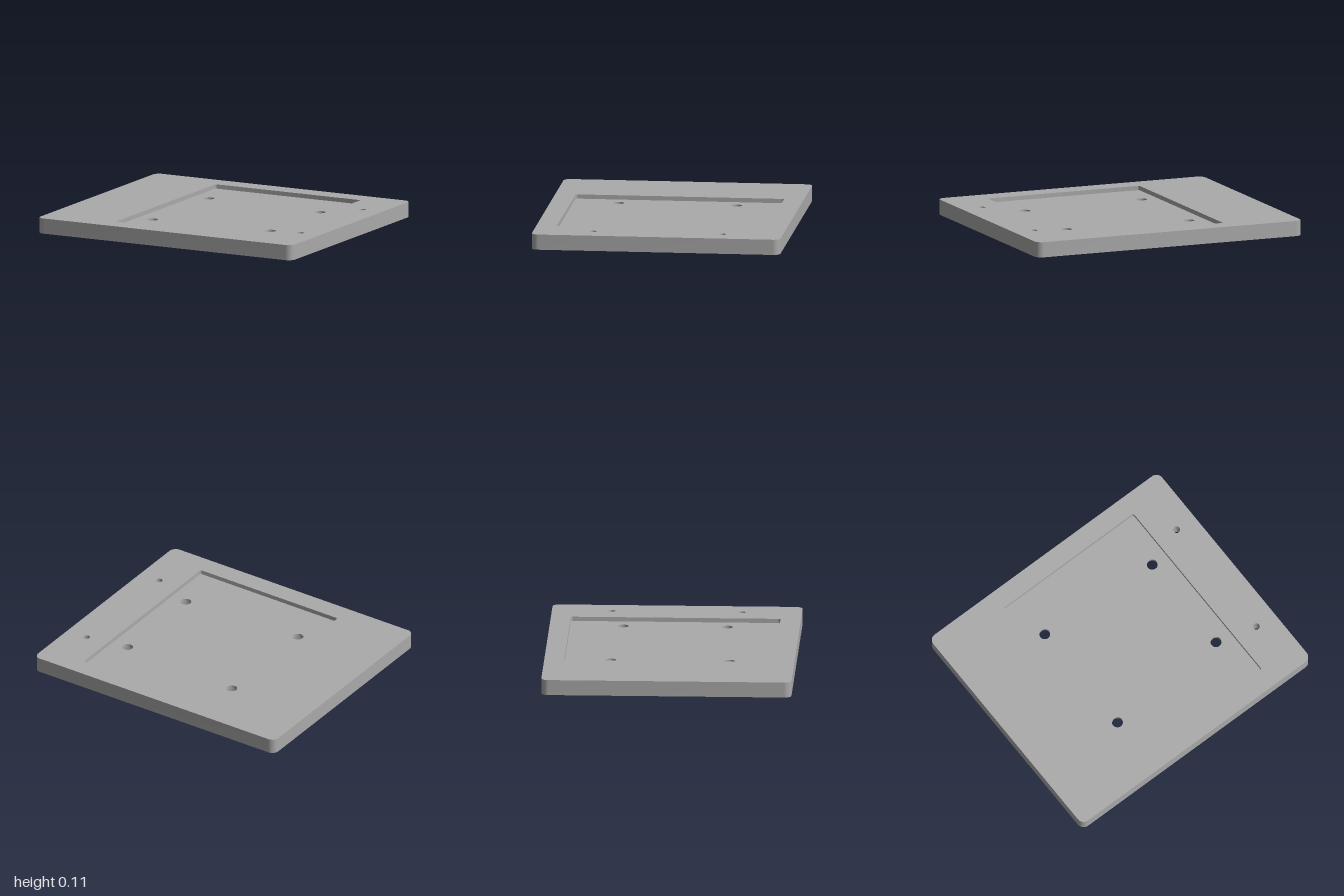
import * as THREE from 'three';
import { toCreasedNormals } from 'three/addons/utils/BufferGeometryUtils.js';

const TOP = 0.107, FLOOR = 0.077, LEDGE = 0.054;

// Outlines are counter-clockwise in (x, -z)
function roundedRect(x0, x1, z0, z1, r) {
  const s = new THREE.Shape();
  s.absarc(x1 - r, -z1 + r, r, -Math.PI / 2, 0);
  s.absarc(x1 - r, -z0 - r, r, 0, Math.PI / 2);
  s.absarc(x0 + r, -z0 - r, r, Math.PI / 2, Math.PI);
  s.absarc(x0 + r, -z1 + r, r, Math.PI, Math.PI * 1.5);
  return s;
}

function circle(x, z, r) {
  return new THREE.Shape().absarc(x, -z, r, 0, Math.PI * 2);
}

function flip(geometry) {
  geometry.setIndex(Array.from(geometry.index.array).reverse());
  geometry.computeVertexNormals();
}

// Flat horizontal face with holes
function face(outline, holes, y, down = false) {
  const s = outline.clone();
  s.holes = holes;
  const g = new THREE.ShapeGeometry(s, 10);
  if (down) flip(g);
  return g.rotateX(-Math.PI / 2).translate(0, y, 0);
}

// Vertical wall along an outline, facing outward or inward
function wall(outline, y0, y1, inward = false) {
  const pts = outline.getPoints(10).filter((p, i, a) => p.distanceTo(a[(i + 1) % a.length]) > 1e-5);
  const n = pts.length, pos = [], idx = [];
  pts.forEach((p, i) => {
    pos.push(p.x, y0, -p.y, p.x, y1, -p.y);
    const a = 2 * i, b = 2 * ((i + 1) % n);
    idx.push(a, b, b + 1, a, b + 1, a + 1);
  });
  const g = new THREE.BufferGeometry();
  g.setAttribute('position', new THREE.Float32BufferAttribute(pos, 3));
  g.setIndex(inward ? idx.reverse() : idx);
  return toCreasedNormals(g, 0.6);
}

export function createModel() {
  const group = new THREE.Group();
  const grey = new THREE.MeshStandardMaterial({ color: 0xaaaaaa });
  grey.name = 'plain grey';
  const add = (name, geometry) => {
    const m = new THREE.Mesh(geometry, grey);
    m.name = name;
    group.add(m);
  };

  const plate = roundedRect(-1, 1, -0.865, 0.865, 0.05);
  const pocket = roundedRect(-0.46, 0.68, -0.727, 0.723, 0.015);
  const boltSpots = [[-0.34, -0.41], [-0.34, 0.41], [0.56, -0.36], [0.56, 0.36]];
  const bolts = boltSpots.map(([x, z]) => circle(x, z, 0.038));
  const bores = boltSpots.map(([x, z]) => circle(x, z, 0.066));
  const pins = [-0.45, 0.45].map((z) => circle(0.843, z, 0.024));

  // Plate body
  add('plateTop', face(plate, [pocket, ...pins], TOP));
  add('plateBottom', face(plate, [...bores, ...pins], 0, true));
  add('plateEdge', wall(plate, 0, TOP));

  // Shallow pocket in the top
  add('pocketFloor', face(pocket, bolts, FLOOR));
  add('pocketWall', wall(pocket, FLOOR, TOP, true));

  // Bolt holes, counterbored from below
  bolts.forEach((bolt, i) => {
    add('boltHole', wall(bolt, LEDGE, FLOOR, true));
    add('counterboreWall', wall(bores[i], 0, LEDGE, true));
    add('counterboreLedge', face(bores[i], [bolt], LEDGE, true));
  });

  // Small through holes
  pins.forEach((pin) => add('pinHole', wall(pin, 0, TOP, true)));
  return group;
}
